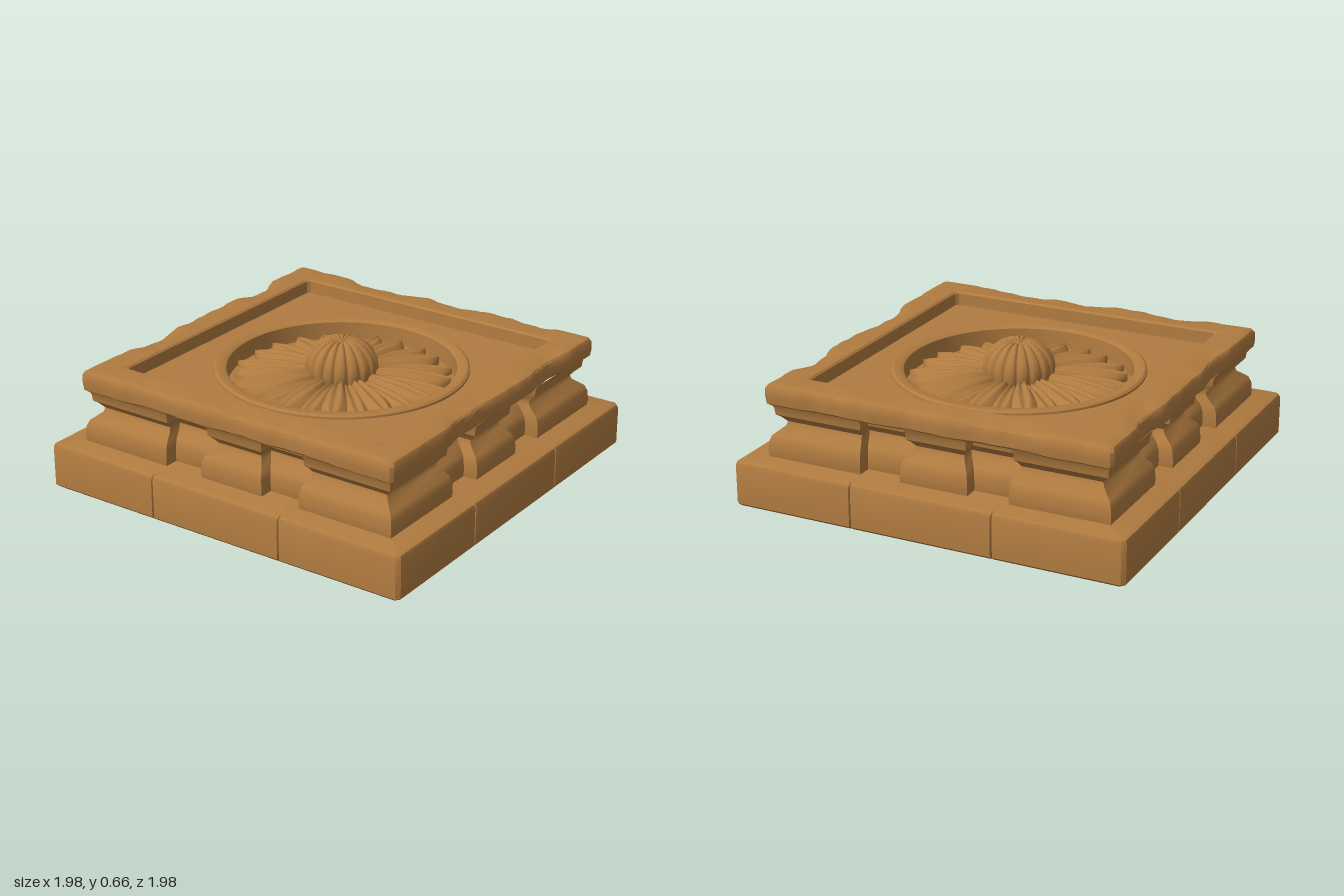
import * as THREE from 'three';
import { toCreasedNormals } from 'three/addons/utils/BufferGeometryUtils.js';

const stone = new THREE.MeshStandardMaterial({ color: 0xb07b40 });
stone.name = 'sandstone';

// Joins square-symmetric rings from bottom to top. side(ring, k) gives the [along, outward, y] points of side k.
function loft(rings, side, capped) {
  const pos = [], idx = [];
  let n = 0;
  for (const ring of rings) {
    const start = pos.length;
    for (let k = 0; k < 4; k++) {
      for (const [s, d, y] of side(ring, k)) {
        const [x, z] = [[s, d], [d, -s], [-s, -d], [-d, s]][k];
        pos.push(x, y, z);
      }
    }
    n = (pos.length - start) / 3;
  }
  for (let i = 0; i < rings.length - 1; i++) {
    for (let j = 0; j < n; j++) {
      const a = i * n + j, b = i * n + (j + 1) % n;
      idx.push(a, b, b + n, a, b + n, a + n);
    }
  }
  if (capped) {
    const c = pos.length / 3, top = (rings.length - 1) * n;
    pos.push(0, pos[1], 0, 0, pos[top * 3 + 1], 0);
    for (let j = 0; j < n; j++) {
      const q = (j + 1) % n;
      idx.push(c, q, j, c + 1, top + j, top + q);
    }
  }
  const g = new THREE.BufferGeometry();
  g.setAttribute('position', new THREE.Float32BufferAttribute(pos, 3));
  g.setIndex(idx);
  return toCreasedNormals(g, 0.6);
}

// Plinth side: chamfered corners and two narrow block joints
function plinthSide([h, y]) {
  const c = 0.018, pts = [[-h + c, h, y]];
  for (const j of [-0.37, 0.35]) pts.push([j - 0.005, h, y], [j, h - 0.01, y], [j + 0.005, h, y]);
  pts.push([h - c, h, y]);
  return pts;
}

// Body side: corner piers, a centre pier and two recesses
function bodySide([d, y]) {
  const c = 0.87 - d, r = 0.8 - d, p = 0.38 + 0.4 * d, m = 0.17 - 0.7 * d;
  return [[-c, c], [-p, c], [-p, r], [-m, r], [-m, c], [m, c], [m, r], [p, r], [p, c], [c, c]]
    .slice(0, 9).concat([[c - 0.006, c]]).map(([s, o]) => [s, o, y]);
}

// Worn patches on the frame edge: [position, half length, depth] for each side
const dents = [
  [[-0.45, 0.16, 0.018], [0.02, 0.12, 0.02], [0.36, 0.2, 0.02]],
  [[-0.2, 0.18, 0.03], [0.47, 0.14, 0.03], [0.1, 0.1, 0.01]],
  [[0.34, 0.2, 0.025], [-0.1, 0.16, 0.015], [-0.55, 0.1, 0.015]],
  [[-0.45, 0.13, 0.03], [0.37, 0.15, 0.025], [0, 0.2, 0.008]],
];
function wear(s, k) {
  let w = 0.003 * Math.sin(s * 23 + k * 2) + 0.002 * Math.sin(s * 51 + k);
  for (const [p, l, depth] of dents[k]) w += depth * Math.exp(-(((s - p) / l) ** 4));
  return w * Math.min(1, (0.88 - Math.abs(s)) * 10);
}

// Frame side: wIn pulls the edge in and wDown lowers it where it is worn
function frameSide([h, y, wIn, wDown], k) {
  const pts = [], c = 0.014, n = 48;
  for (let i = 0; i <= n; i++) {
    const s = (h - c) * (2 * i / n - 1), w = Math.max(0, wear(s, k));
    pts.push([s, h - w * wIn, y - w * wDown]);
  }
  return pts;
}

// Petal: a plane bent into a leaf with ridges, its edges falling to the dish floor
function petalGeometry(r0, r1, halfWidth, yIn, yOut) {
  const g = new THREE.PlaneGeometry(1, 1, 16, 16).rotateX(-Math.PI / 2);
  const p = g.attributes.position;
  for (let i = 0; i < p.count; i++) {
    const v = p.getX(i) * 2, u = p.getZ(i) + 0.5;
    const w = u < 0.6 ? 0.025 + (halfWidth - 0.025) * Math.sin(u / 0.6 * Math.PI / 2)
      : halfWidth * Math.pow(Math.max(0, 1 - ((u - 0.6) / 0.4) ** 2), 0.75);
    const crown = yIn + (yOut - yIn) * u + 0.014 * Math.sin(Math.PI * u);
    const ridge = -0.009 * Math.cos(v * Math.PI * 3) * (1 - 0.5 * u);
    const edge = 1 - Math.abs(v) ** 5;
    p.setXYZ(i, v * w, 0.43 + (crown - 0.43 + ridge) * edge, r0 + (r1 - r0) * u);
  }
  g.computeVertexNormals();
  return g;
}

const lathe = (pts, seg) => new THREE.LatheGeometry(pts.map(([x, y]) => new THREE.Vector2(x, y)), seg);

export function createModel() {
  const model = new THREE.Group();
  const add = (name, geometry, parent = model) => {
    const mesh = new THREE.Mesh(geometry, stone);
    mesh.name = name;
    parent.add(mesh);
    return mesh;
  };

  add('plinth', loft([[0.98, 0], [0.992, 0.012], [0.992, 0.2], [0.985, 0.217], [0.968, 0.225]], plinthSide, true));

  // Moulded body: swelling foot, pinched neck, flared cap
  add('mouldedBody', loft([[0, 0.22], [-0.004, 0.25], [0, 0.3], [0.012, 0.33], [0.06, 0.37], [0.066, 0.39],
    [0.045, 0.415], [0.026, 0.43], [0.022, 0.465], [0.01, 0.49]], bodySide, false));

  // Worn square frame around the sunken panel
  add('topFrame', loft([[0.7, 0.482, 0, 0], [0.865, 0.482, 0.6, 0], [0.878, 0.492, 0.8, 0], [0.882, 0.53, 1, 0],
    [0.88, 0.565, 1.1, 0.2], [0.87, 0.581, 1.1, 0.4], [0.855, 0.586, 1, 0.5], [0.82, 0.586, 0, 0.5],
    [0.77, 0.586, 0, 0], [0.735, 0.586, 0, 0], [0.725, 0.578, 0, 0], [0.722, 0.505, 0, 0]], frameSide, false));

  // Sunken panel with a round opening
  const panel = new THREE.Shape([[-1, -1], [1, -1], [1, 1], [-1, 1]].map(([x, y]) => new THREE.Vector2(x * 0.74, y * 0.74)));
  const hole = new THREE.Path();
  hole.absarc(0, 0, 0.59, 0, Math.PI * 2, true);
  panel.holes.push(hole);
  add('sunkenPanel', new THREE.ExtrudeGeometry(panel, { depth: 0.02, bevelEnabled: false, curveSegments: 48 })
    .rotateX(-Math.PI / 2).translate(0, 0.496, 0));

  // Raised ring and the dish inside it
  add('ringAndDish', toCreasedNormals(lathe([[0.616, 0.505], [0.614, 0.526], [0.603, 0.534], [0.566, 0.534],
    [0.553, 0.526], [0.548, 0.44], [0, 0.44]], 96), 0.6));

  // Two alternating layers of petals
  const rosette = new THREE.Group();
  rosette.name = 'rosette';
  model.add(rosette);
  const layers = [
    ['backPetal', petalGeometry(0.14, 0.542, 0.07, 0.485, 0.466), 0.5],
    ['frontPetal', petalGeometry(0.13, 0.525, 0.078, 0.505, 0.474), 0],
  ];
  for (const [name, geometry, shift] of layers) {
    for (let i = 0; i < 12; i++) add(name, geometry, rosette).rotation.y = (i + shift) * Math.PI / 6;
  }

  // Fluted central boss with a dimpled top
  const boss = lathe([[0.15, 0.44], [0.165, 0.48], [0.175, 0.52], [0.17, 0.56], [0.155, 0.595], [0.13, 0.625],
    [0.1, 0.648], [0.07, 0.66], [0.045, 0.659], [0.025, 0.648], [0, 0.642]], 128);
  const p = boss.attributes.position;
  for (let i = 0; i < p.count; i++) {
    const x = p.getX(i), z = p.getZ(i), r = Math.hypot(x, z);
    const groove = 1 - Math.abs(Math.sin(Math.atan2(z, x) * 8));
    const f = 1 - 0.1 * groove ** 2;
    p.setXYZ(i, x * f, p.getY(i) - 0.012 * groove ** 2 * Math.min(1, r / 0.05), z * f);
  }
  boss.computeVertexNormals();
  add('boss', boss);

  return model;
}
